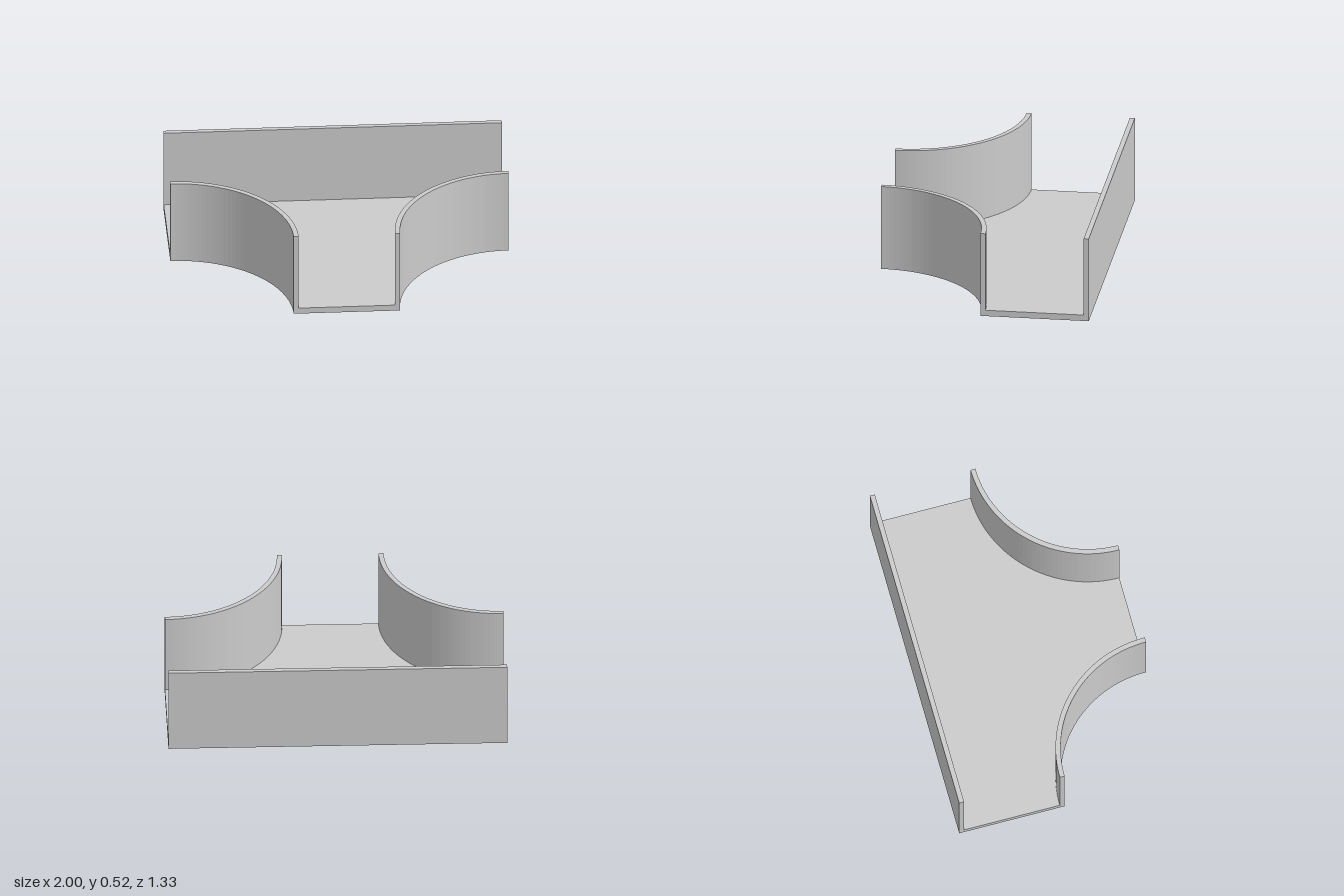
import * as THREE from 'three';

const HEIGHT = 0.52, FLOOR = 0.037, WALL = 0.03;
const HALF_X = 1, HALF_Z = 0.665, RADIUS = 0.685;
const SEGMENTS = 20;

export function createModel() {
  const group = new THREE.Group();
  const material = new THREE.MeshStandardMaterial({ color: 0xcccccc });

  // Extrudes a plan outline (x, z) between two heights
  function addPlan(name, shape, bottom, top) {
    const geometry = new THREE.ExtrudeGeometry(shape, {
      depth: top - bottom, bevelEnabled: false, curveSegments: SEGMENTS,
    });
    geometry.rotateX(Math.PI / 2).translate(0, top, 0);
    const mesh = new THREE.Mesh(geometry, material);
    mesh.name = name;
    group.add(mesh);
  }

  // Floor: T-shaped plate with two concave quarter-round corners
  const floor = new THREE.Shape();
  floor.moveTo(-HALF_X, -HALF_Z);
  floor.lineTo(HALF_X, -HALF_Z);
  floor.absarc(HALF_X, HALF_Z, RADIUS, 1.5 * Math.PI, Math.PI, true);
  floor.absarc(-HALF_X, HALF_Z, RADIUS, 0, -Math.PI / 2, true);
  floor.closePath();
  addPlan('floor', floor, 0, FLOOR);

  // Straight wall along the back
  const wallHeight = HEIGHT - FLOOR;
  const back = new THREE.Mesh(new THREE.BoxGeometry(2 * HALF_X, wallHeight, WALL), material);
  back.name = 'backWall';
  back.position.set(0, FLOOR + wallHeight / 2, -HALF_Z + WALL / 2);
  group.add(back);

  // Curved walls standing on the concave edges
  for (const [name, side, start] of [['leftCurvedWall', 1, Math.PI], ['rightCurvedWall', -1, -Math.PI / 2]]) {
    const end = start + Math.PI / 2;
    const ring = new THREE.Shape();
    ring.absarc(side * HALF_X, HALF_Z, RADIUS + WALL, start, end, false);
    ring.absarc(side * HALF_X, HALF_Z, RADIUS, end, start, true);
    ring.closePath();
    addPlan(name, ring, FLOOR, HEIGHT);
  }

  return group;
}
